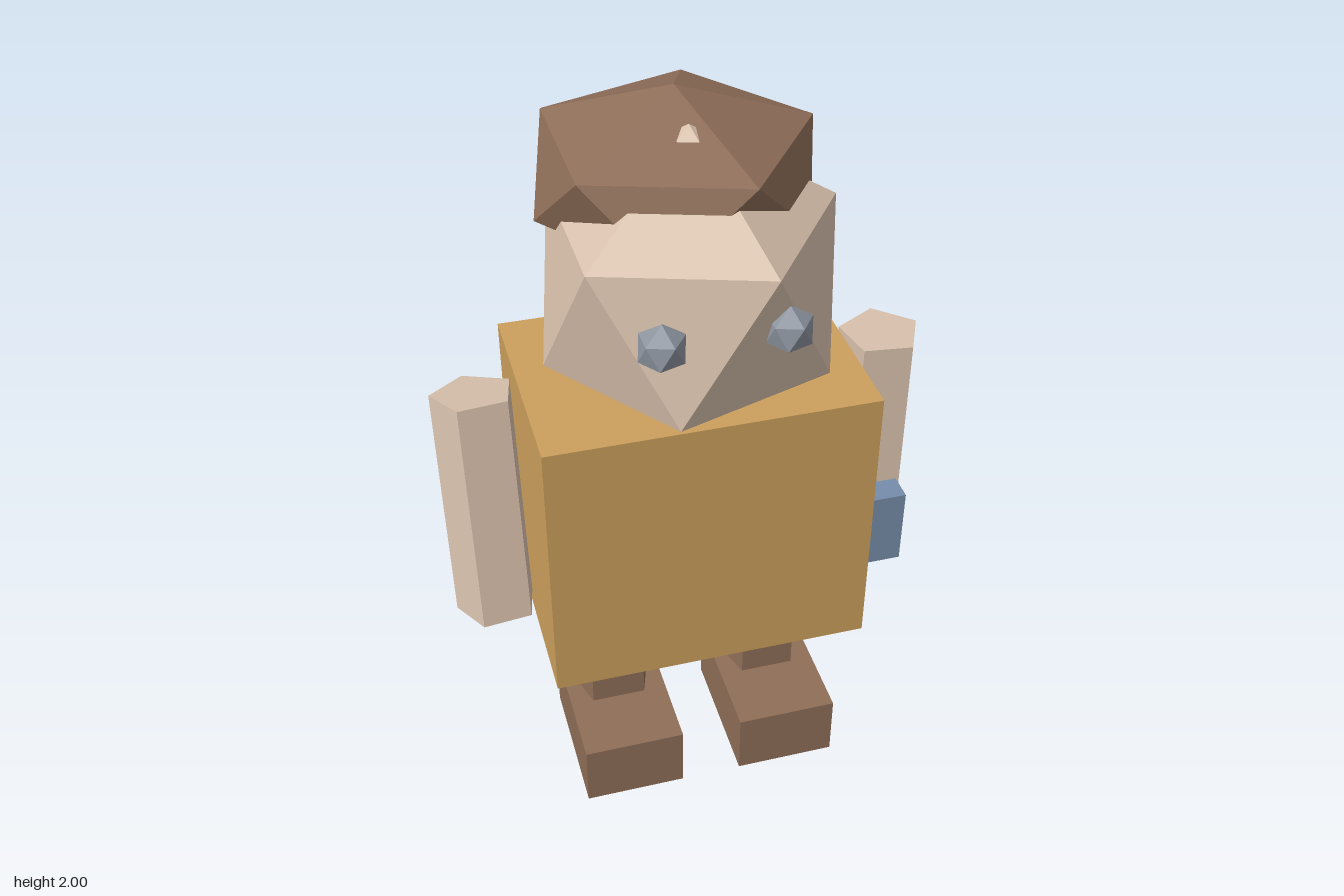
import * as THREE from 'three';
import { ConvexGeometry } from 'three/addons/geometries/ConvexGeometry.js';

function makeMaterial(name, color) {
  const m = new THREE.MeshStandardMaterial({ color });
  m.name = name;
  return m;
}

// Faceted ball: two poles and two staggered rings of five points
function facetedBall(rx, ry) {
  const points = [new THREE.Vector3(0, ry, 0), new THREE.Vector3(0, -ry, 0)];
  const ring = rx * 2 / Math.sqrt(5), level = ry / Math.sqrt(5);
  for (let i = 0; i < 5; i++) {
    const a = i * Math.PI * 2 / 5;
    points.push(new THREE.Vector3(ring * Math.cos(a), level, ring * Math.sin(a)));
    points.push(new THREE.Vector3(-ring * Math.cos(a), -level, ring * Math.sin(a)));
  }
  return new ConvexGeometry(points);
}

// Five-sided post with flat faces
function post(radius, height, turn) {
  const g = new THREE.CylinderGeometry(radius, radius, height, 5, 1, false, turn).toNonIndexed();
  g.computeVertexNormals();
  return g;
}

export function createModel() {
  const model = new THREE.Group();
  model.name = 'blockyFigure';

  const skin = makeMaterial('skin', 0xd8c0ac);
  const mustard = makeMaterial('mustard', 0xcca05c);
  const brown = makeMaterial('brown', 0x8e6e58);
  const steel = makeMaterial('steelGrey', 0x8c949e);
  const blue = makeMaterial('dustyBlue', 0x768caa);

  function add(name, geometry, material, x, y, z) {
    const mesh = new THREE.Mesh(geometry, material);
    mesh.name = name;
    mesh.position.set(x, y, z);
    model.add(mesh);
    return mesh;
  }

  // Torso, with a small block standing out of its left side
  add('torso', new THREE.BoxGeometry(0.875, 0.795, 0.605), mustard, 0, 0.875, 0.008);
  add('sideBlock', new THREE.BoxGeometry(0.15, 0.225, 0.075), blue, 0.49, 0.763, 0.195);

  // Head and flattened hair
  add('head', facetedBall(0.42, 0.42), skin, 0, 1.54, 0.045);
  add('hair', facetedBall(0.396, 0.217), brown, 0, 1.783, -0.088);

  for (const [label, s] of [['left', 1], ['right', -1]]) {
    add(label + 'Eye', facetedBall(0.064, 0.064), steel, s * 0.153, 1.575, 0.37);

    // Legs run down behind the feet to the ground
    add(label + 'Leg', post(0.13, 0.5, Math.PI), brown, s * 0.228, 0.25, 0.01);
    add(label + 'Foot', new THREE.BoxGeometry(0.284, 0.19, 0.412), brown, s * 0.228, 0.095, 0.106);
  }

  // Left arm hangs straight, right arm swings forward
  add('leftArm', post(0.112, 0.64, Math.PI - 0.126), skin, 0.546, 0.95, 0.006);
  const rightArm = add('rightArm', post(0.112, 0.64, Math.PI + 0.126), skin, -0.553, 0.958, 0.06);
  rightArm.rotation.x = -0.18;

  return model;
}
